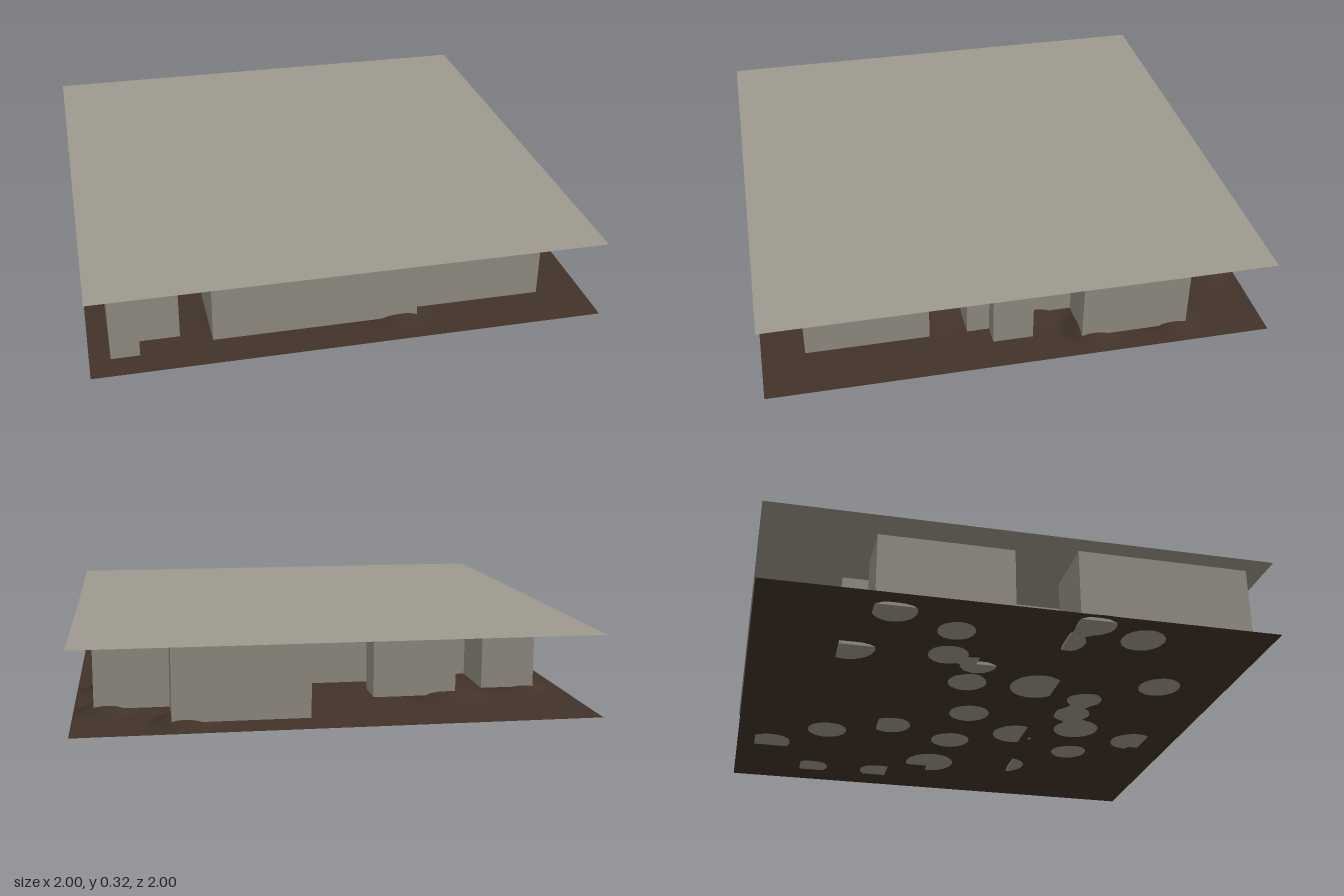
import * as THREE from 'three';

const HEIGHT = 0.32;      // ceiling level
const BLOCK_BASE = 0.02;  // underside of the rock blocks

// Soil mounds: x, z, radius at the foot
const mounds = [
  [0.87, -0.63, 0.13], [0.58, -0.85, 0.15], [0.38, -0.6, 0.14], [0.86, -0.3, 0.13],
  [0.69, -0.06, 0.18], [0.38, -0.02, 0.14], [0.26, -0.32, 0.14], [0.05, 0, 0.14],
  [0.64, 0.31, 0.15], [0.24, 0.26, 0.16], [0.4, 0.57, 0.13], [0.21, 0.82, 0.15],
  [0.12, 0.52, 0.16], [-0.04, 0.45, 0.13], [-0.2, 0.46, 0.12], [-0.29, 0.22, 0.18],
  [-0.4, 0.73, 0.14], [-0.27, -0.08, 0.13], [-0.44, -0.07, 0.12], [-0.51, -0.21, 0.13],
  [-0.72, -0.22, 0.12], [-0.49, -0.61, 0.17], [-0.83, -0.48, 0.14], [-0.72, 0.21, 0.14],
  [-0.88, 0.29, 0.13], [-0.8, 0.51, 0.14],
];

// Rock blocks: x from, x to, z from, z to
const blocks = [
  [-0.92, -0.81, 0.22, 0.92], [-0.81, -0.65, 0.22, 0.83],   // front right corner
  [-0.53, 0.28, 0.38, 0.88], [0.28, 0.8, 0.34, 0.83],       // front
  [0.45, 0.8, 0.1, 0.19], [0.45, 0.88, -0.06, 0.1],         // left side
  [0.63, 0.92, -0.68, -0.25], [0.5, 0.74, -0.25, -0.06],
  [0.11, 0.63, -0.92, -0.45], [-0.515, -0.18, -0.65, -0.5], // back
  [-0.87, -0.65, -0.56, -0.02],                             // right side
  [-0.45, 0.45, -0.38, 0.3], [-0.65, -0.45, -0.3, -0.08],   // middle
];

function floorHeight(x, z) {
  let h = 0;
  for (const [mx, mz, r] of mounds) {
    const d = Math.hypot(x - mx, z - mz);
    h = Math.max(h, 0.034 * (1 - THREE.MathUtils.smoothstep(d, r * 0.35, r)));
  }
  return h;
}

export function createModel() {
  const group = new THREE.Group();
  const stone = new THREE.MeshStandardMaterial({ color: 0xa09a8f, side: THREE.DoubleSide });
  stone.name = 'stone';
  const soil = new THREE.MeshStandardMaterial({ color: 0x423329, side: THREE.DoubleSide });
  soil.name = 'soil';

  const add = (name, geometry, material) => {
    const mesh = new THREE.Mesh(geometry, material);
    mesh.name = name;
    group.add(mesh);
    return mesh;
  };

  // Uneven floor
  const floor = new THREE.PlaneGeometry(2, 2, 72, 72).rotateX(-Math.PI / 2);
  const pos = floor.attributes.position;
  for (let i = 0; i < pos.count; i++) pos.setY(i, floorHeight(pos.getX(i), pos.getZ(i)));
  floor.computeVertexNormals();
  add('floor', floor, soil);

  // Flat ceiling
  add('ceiling', new THREE.PlaneGeometry(2, 2).rotateX(-Math.PI / 2), stone).position.y = HEIGHT;

  // Rock blocks between floor and ceiling, stopping just short of the ceiling
  const h = HEIGHT - BLOCK_BASE - 0.001;
  blocks.forEach(([x0, x1, z0, z1], i) => {
    add(`rockBlock${i + 1}`, new THREE.BoxGeometry(x1 - x0, h, z1 - z0), stone)
      .position.set((x0 + x1) / 2, BLOCK_BASE + h / 2, (z0 + z1) / 2);
  });

  return group;
}
